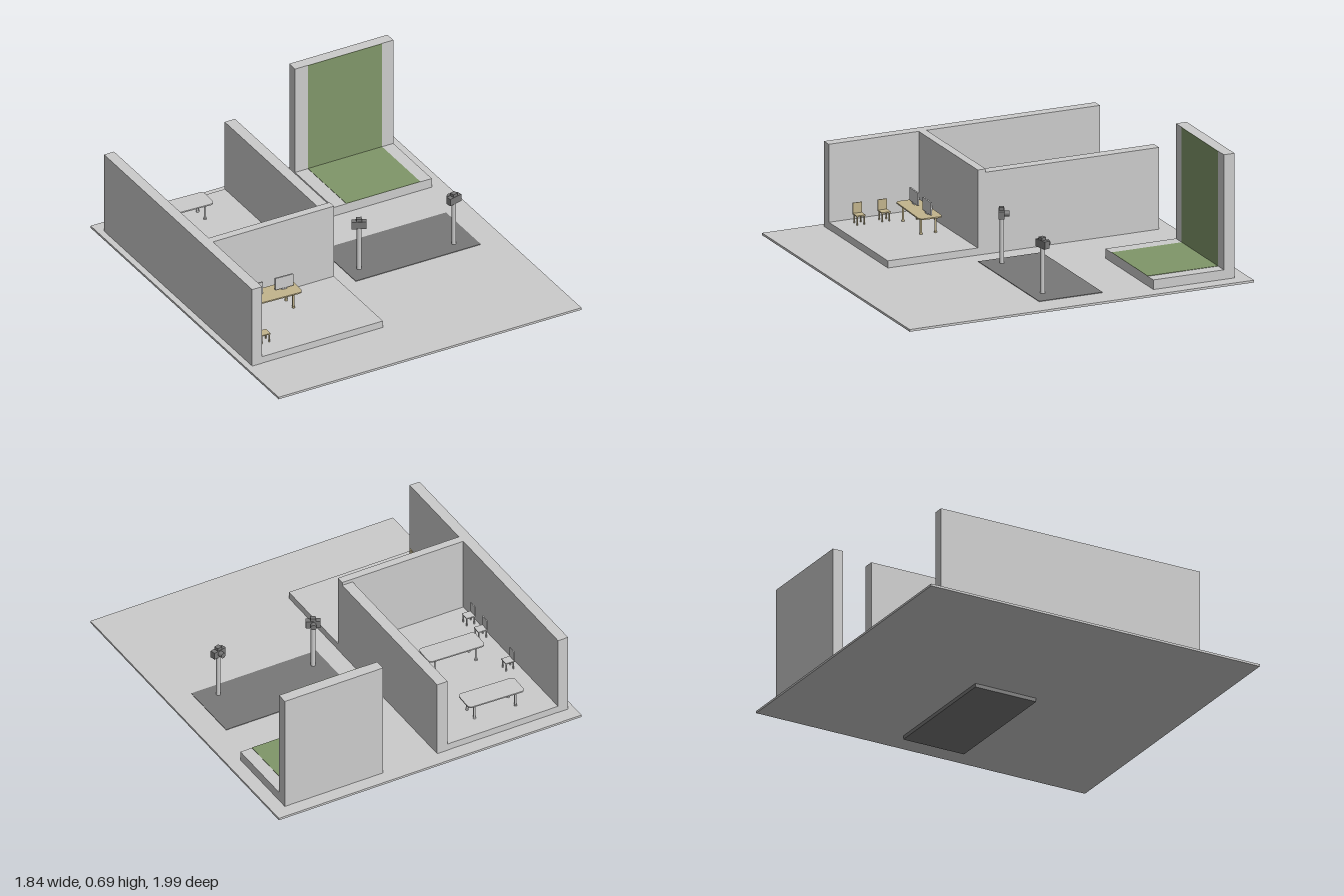
import * as THREE from 'three';

const paint = (color) => new THREE.MeshStandardMaterial({ color });
const grey = paint(0xcccccc), dark = paint(0x787878), green = paint(0x809669), tan = paint(0xc2b48c);

function add(parent, name, geometry, material, x = 0, y = 0, z = 0) {
  const mesh = new THREE.Mesh(geometry, material);
  mesh.name = name;
  mesh.position.set(x, y, z);
  parent.add(mesh);
  return mesh;
}

// Box given by its lower and upper limits on each axis
function block(parent, name, material, [x0, x1], [y0, y1], [z0, z1]) {
  return add(parent, name, new THREE.BoxGeometry(x1 - x0, y1 - y0, z1 - z0), material,
    (x0 + x1) / 2, (y0 + y1) / 2, (z0 + z1) / 2);
}

function group(parent, name, x, y, z) {
  const g = new THREE.Group();
  g.name = name;
  g.position.set(x, y, z);
  parent.add(g);
  return g;
}

// Horizontal rounded slab, lying with its underside at y = 0
function roundedSlab(w, d, r, h) {
  const a = w / 2 - r, b = d / 2 - r, s = new THREE.Shape();
  s.absarc(a, b, r, 0, Math.PI / 2);
  s.absarc(-a, b, r, Math.PI / 2, Math.PI);
  s.absarc(-a, -b, r, Math.PI, Math.PI * 1.5);
  s.absarc(a, -b, r, Math.PI * 1.5, Math.PI * 2);
  return new THREE.ExtrudeGeometry(s, { depth: h, bevelEnabled: false, curveSegments: 6 }).rotateX(-Math.PI / 2);
}

function makeTable(parent, z, material) {
  const t = group(parent, 'table', -0.52, 0.07, z);
  add(t, 'tableTop', roundedSlab(0.32, 0.128, 0.022, 0.007), material, 0, 0.088, 0);
  for (const x of [-0.117, 0.117]) for (const dz of [-0.04, 0.04]) {
    add(t, 'tableLeg', new THREE.CylinderGeometry(0.006, 0.006, 0.088, 12), material, x, 0.044, dz);
    add(t, 'tableFoot', new THREE.CylinderGeometry(0.008, 0.008, 0.008, 12), material, x, 0.004, dz);
  }
}

// Chair facing +x
function makeChair(parent, x, z, material) {
  const c = group(parent, 'chair', x, 0.07, z);
  block(c, 'seat', material, [-0.026, 0.026], [0.045, 0.051], [-0.025, 0.025]);
  block(c, 'backrest', material, [-0.027, -0.022], [0.051, 0.106], [-0.025, 0.025]);
  for (const dx of [-0.021, 0.021]) for (const dz of [-0.019, 0.019])
    add(c, 'chairLeg', new THREE.CylinderGeometry(0.004, 0.004, 0.045, 8), material, dx, 0.0225, dz);
}

// Monitor with a flat screen towards +z and a bulged back
function makeMonitor(parent, x) {
  const m = group(parent, 'monitor', x, 0.205, 0.26);
  block(m, 'screen', grey, [-0.051, 0.051], [-0.034, 0.034], [-0.004, 0.004]);
  const back = new THREE.SphereGeometry(1, 24, 12, Math.PI, Math.PI).rotateX(0);
  add(m, 'monitorBack', back, grey, 0, 0, -0.004).scale.set(0.049, 0.032, 0.014);
  block(m, 'monitorStand', grey, [-0.014, 0.014], [-0.04, -0.033], [-0.012, 0.006]);
}

// Camera on a post, its lens towards -z
function makeCamera(parent, x, z, turn) {
  const c = group(parent, 'cameraStand', x, 0, z);
  add(c, 'post', new THREE.CylinderGeometry(0.012, 0.012, 0.25, 20), grey, 0, 0.155, 0);
  const h = group(c, 'cameraHead', 0, 0.298, 0);
  h.rotation.y = turn;
  block(h, 'cameraBody', dark, [-0.038, 0.038], [-0.02, 0.02], [-0.014, 0.016]);
  block(h, 'viewfinder', dark, [-0.014, 0.014], [0.018, 0.036], [-0.012, 0.014]);
  add(h, 'lens', new THREE.CylinderGeometry(0.015, 0.015, 0.025, 20).rotateX(Math.PI / 2), dark, 0, 0, -0.026);
}

export function createModel() {
  const model = new THREE.Group();
  model.name = 'studioSet';

  // Building shell, turned slightly against the furniture
  const shell = group(model, 'shell', 0, 0, 0);
  shell.rotation.y = 0.0395;
  block(shell, 'ground', grey, [-0.882, 0.882], [0.02, 0.032], [-0.963, 0.961]);
  block(shell, 'floorPanel', dark, [0.016, 0.744], [0, 0.035], [-0.182, 0.173]);

  // Two rooms
  block(shell, 'roomFloor', grey, [-0.848, -0.086], [0.03, 0.07], [-0.884, 0.63]);
  block(shell, 'leftWall', grey, [-0.848, -0.79], [0.03, 0.485], [-0.885, 0.631]);
  block(shell, 'rightWall', grey, [-0.145, -0.085], [0.03, 0.467], [-0.885, 0.085]);
  block(shell, 'dividingWall', grey, [-0.79, -0.0855], [0.07, 0.485], [0.084, 0.128]);

  // Green screen stage
  block(shell, 'stageFloor', grey, [0.234, 0.806], [0.03, 0.083], [-0.83, -0.436]);
  block(shell, 'stageWall', grey, [0.234, 0.806], [0.03, 0.695], [-0.89, -0.83]);
  block(shell, 'greenFloor', green, [0.308, 0.739], [0.083, 0.085], [-0.83, -0.436]);
  block(shell, 'greenBackdrop', green, [0.308, 0.739], [0.083, 0.695], [-0.83, -0.828]);

  // Furniture
  makeTable(model, 0.268, tan);
  for (const z of [-0.705, -0.272]) makeTable(model, z, grey);
  for (const z of [0.39, 0.528]) makeChair(model, -0.686, z, tan);
  for (const z of [-0.447, -0.147, -0.016]) makeChair(model, -0.75, z, grey);
  for (const x of [-0.605, -0.432]) makeMonitor(model, x);

  // Cameras
  makeCamera(model, 0.093, 0.072, -0.4);
  makeCamera(model, 0.632, 0.075, 0.27);
  return model;
}
